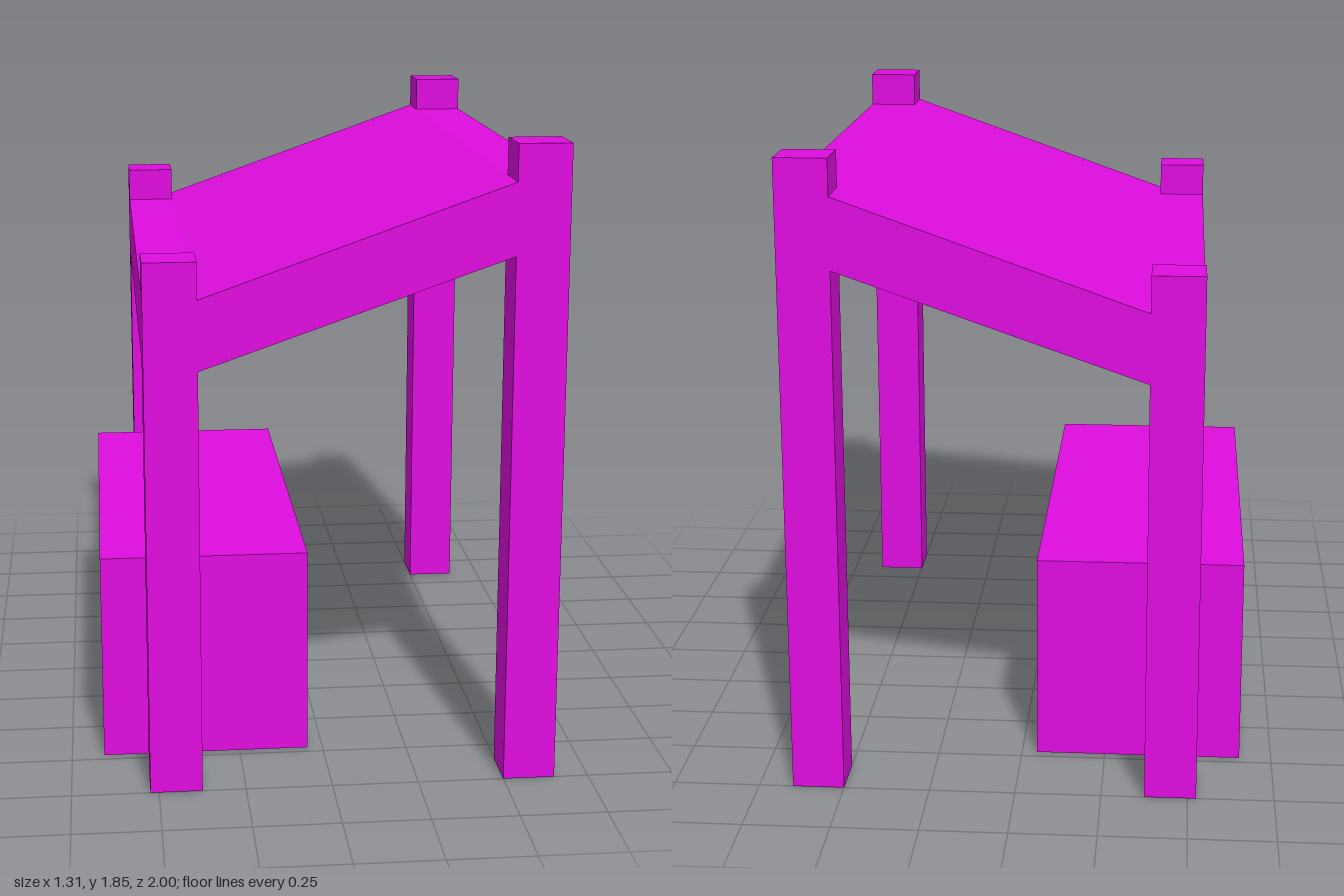
import * as THREE from 'three';

const material = new THREE.MeshStandardMaterial({ color: 0xdf0ddf, side: THREE.DoubleSide, flatShading: true });

// Box given by its limits; optionally open underneath
function box(name, [x0, x1], [y0, y1], [z0, z1], openBottom = false) {
  const geometry = new THREE.BoxGeometry(x1 - x0, y1 - y0, z1 - z0);
  if (openBottom) {
    const index = Array.from(geometry.index.array);
    index.splice(18, 6); // the downward face
    geometry.setIndex(index);
    geometry.clearGroups();
  }
  geometry.translate((x0 + x1) / 2, (y0 + y1) / 2, (z0 + z1) / 2);
  const mesh = new THREE.Mesh(geometry, material);
  mesh.name = name;
  return mesh;
}

// Flat four-cornered sheet
function sheet(name, a, b, c, d) {
  const geometry = new THREE.BufferGeometry();
  geometry.setAttribute('position', new THREE.Float32BufferAttribute([...a, ...b, ...c, ...d], 3));
  geometry.setIndex([0, 1, 2, 0, 2, 3]);
  geometry.computeVertexNormals();
  const mesh = new THREE.Mesh(geometry, material);
  mesh.name = name;
  return mesh;
}

export function createModel() {
  const model = new THREE.Group();
  model.name = 'shelter';

  const low = [-0.525, -0.375], high = [0.5, 0.65]; // x limits of the two post rows
  const between = [-0.85, 0.85];
  const lowTop = 1.435, highTop = 1.745;            // roof heights
  const lowBottom = 1.235, highBottom = 1.54;       // lower edge of the frame

  // Posts and sloping side panels, mirrored front and back
  for (const s of [1, -1]) {
    const z = s > 0 ? [0.85, 1] : [-1, -0.85];
    model.add(box('lowPost', low, [0, 1.54], z, true));
    model.add(box('highPost', high, [0, 1.85], z, true));
    const corners = [
      [low[1], lowBottom, s], [high[0], highBottom, s],
      [high[0], highTop, s], [low[1], lowTop, s],
    ];
    if (s < 0) corners.reverse();
    model.add(sheet('sidePanel', ...corners));
  }

  // Cross beams, the low one with a thin skirt along its outer edge
  model.add(box('highBeam', high, [highBottom, highTop], between));
  model.add(box('lowBeam', low, [1.288, lowTop], between));
  model.add(sheet('lowBeamSkirt',
    [low[0], lowBottom, -0.85], [low[0], lowBottom, 0.85],
    [low[0], 1.288, 0.85], [low[0], 1.288, -0.85]));

  // Sloping roof
  model.add(sheet('roof',
    [low[1], lowTop, 1], [high[0], highTop, 1],
    [high[0], highTop, -1], [low[1], lowTop, -1]));

  // Block standing under the low side
  model.add(box('chest', [-0.655, -0.045], [0, 0.615], [-0.72, 0.72], true));

  return model;
}
